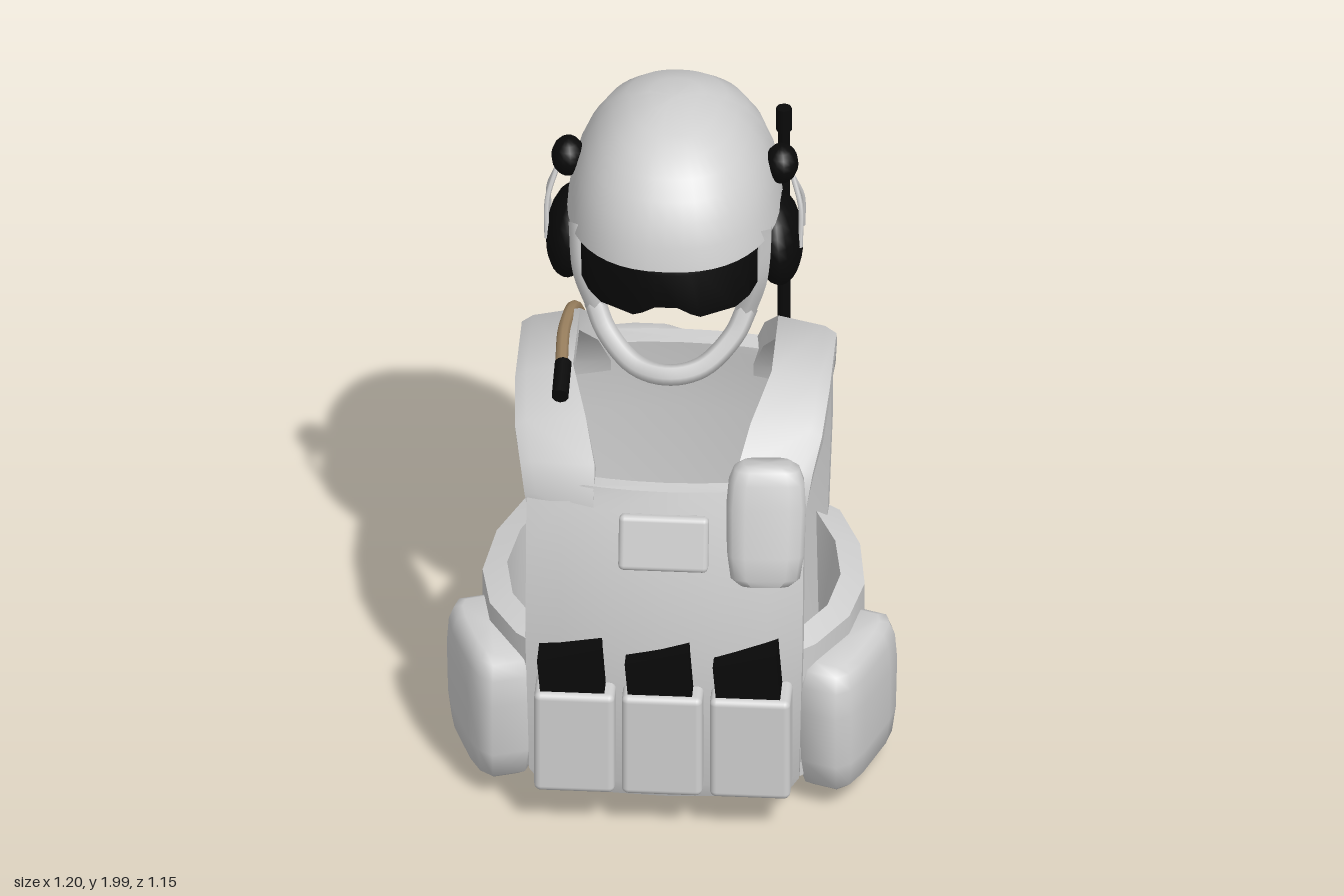
import * as THREE from 'three';
import { toCreasedNormals } from 'three/addons/utils/BufferGeometryUtils.js';
import { RoundedBoxGeometry } from 'three/addons/geometries/RoundedBoxGeometry.js';

const mat = (name, color) => Object.assign(new THREE.MeshStandardMaterial({ color }), { name });

// Closed solid through cross-sections (equal-length loops of [x, y, z]).
function loft(sections, crease = 0.9) {
  const n = sections[0].length, pos = sections.flat(), idx = [];
  for (let s = 0; s < sections.length - 1; s++)
    for (let i = 0; i < n; i++) {
      const a = s * n + i, b = s * n + (i + 1) % n;
      idx.push(a, b, b + n, a, b + n, a + n);
    }
  [0, sections.length - 1].forEach((s) => {
    const c = pos.length;
    pos.push([0, 1, 2].map((k) => sections[s].reduce((t, p) => t + p[k], 0) / n));
    for (let i = 0; i < n; i++) {
      const a = s * n + i, b = s * n + (i + 1) % n;
      idx.push(...(s === 0 ? [c, b, a] : [c, a, b]));
    }
  });
  // turn the faces outward
  const v = pos.map((p) => new THREE.Vector3(...p));
  let volume = 0;
  for (let i = 0; i < idx.length; i += 3)
    volume += v[idx[i]].dot(v[idx[i + 1]].clone().cross(v[idx[i + 2]]));
  if (volume < 0) idx.reverse();
  const g = new THREE.BufferGeometry();
  g.setAttribute('position', new THREE.Float32BufferAttribute(pos.flat(), 3));
  g.setIndex(idx);
  return toCreasedNormals(g, crease);
}

const tube = (pts, r, sides = 6) => new THREE.TubeGeometry(
  new THREE.CatmullRomCurve3(pts.map((p) => new THREE.Vector3(...p))), pts.length * 5, r, sides);
const box = (w, h, d, r) => new RoundedBoxGeometry(w, h, d, 3, r);

// Stuffed pouch: twelve-sided soft rectangle, drawn in at top and bottom.
function pillow(w, h, d) {
  const quarter = [[0.5, 0.22], [0.44, 0.4], [0.28, 0.5]];
  const loop = [...quarter, ...quarter.map(([x, z]) => [-x, z]).reverse(),
    ...quarter.map(([x, z]) => [-x, -z]), ...quarter.map(([x, z]) => [x, -z]).reverse()];
  return loft([[-0.5, 0.66], [-0.44, 0.88], [-0.25, 0.97], [0.15, 1], [0.35, 0.95], [0.46, 0.82], [0.5, 0.6]]
    .map(([y, k]) => loop.map(([x, z]) => [x * w * k, y * h, z * d * (0.3 + 0.7 * k)])), 1.1);
}

// Curved plate: rows of [y, half width, front z, back z]; edges bend by `bend`.
const plate = (rows, bend) => loft(rows.map(([y, w, zf, zb]) => {
  const xs = [-1, -0.75, -0.4, 0, 0.4, 0.75, 1];
  const edge = (z) => (u) => [u * w, y, z + bend * (u * w / 0.38) ** 2];
  return [...xs.map(edge(zf)), ...xs.reverse().map(edge(zb))];
}));

// Helmet shell: outer rows down to a rim cut higher at the front and ears, then inner rows up.
function helmetShell() {
  const soft = (v) => Math.sign(v) * Math.abs(v) ** 0.86;
  const ring = (t, k) => Array.from({ length: 48 }, (_, i) => {
    const a = i / 48 * Math.PI * 2, back = Math.acos(Math.cos(a)) * 180 / Math.PI;
    const rim = 1.685 - 0.22 * THREE.MathUtils.smoothstep(back, 94, 112)
      - 0.045 * THREE.MathUtils.smoothstep(back, 112, 150);
    const y = rim + (2 - rim) * Math.cos(t * Math.PI / 2);
    const d = y - 1.62;
    const s = d > 0 ? Math.max(0, 1 - (d / 0.38) ** 2.2) ** 0.4545 : 1 - 3 * d * d;
    return [0.288 * k * s * soft(Math.sin(a)), y - (1 - k) * 0.4 * Math.cos(t * Math.PI / 2),
      0.02 + 0.378 * k * s * soft(Math.cos(a))];
  });
  const ts = [0.02, 0.12, 0.25, 0.38, 0.5, 0.62, 0.74, 0.87, 1];
  return loft([...ts.map((t) => ring(t, 1)), ...ts.reverse().map((t) => ring(t, 0.92))]);
}

export function createModel() {
  const model = new THREE.Group();
  const fabric = mat('light grey', 0xcfcfcf);
  const black = mat('black', 0x090909);
  const tan = mat('tan', 0x9c8260);
  const add = (name, g, m, p = [0, 0, 0], r = [0, 0, 0]) => {
    const mesh = new THREE.Mesh(g, m);
    mesh.name = name;
    mesh.position.set(...p);
    mesh.rotation.set(...r);
    model.add(mesh);
  };

  // Vest panels
  add('frontPanel', plate([[0.07, 0.33, 0.48, 0.445], [0.12, 0.36, 0.5, 0.45], [0.55, 0.37, 0.515, 0.455],
    [0.8, 0.37, 0.48, 0.425], [0.94, 0.372, 0.44, 0.39], [1.0, 0.22, 0.42, 0.375]], -0.06), fabric);
  add('backPanel', plate([[0.1, 0.36, -0.34, -0.27], [0.5, 0.39, -0.365, -0.29], [0.8, 0.4, -0.37, -0.295],
    [0.95, 0.4, -0.36, -0.285], [1.02, 0.22, -0.34, -0.275]], 0.055), fabric);

  for (const s of [1, -1]) {
    // Shoulder strap: [outer z, outer y, inner z, inner y, inner x, outer x, droop, z shift at outer edge]
    add('shoulderStrap', loft([
      [0.428, 0.9, 0.39, 0.9, 0.19, 0.365, 0, 0.045], [0.42, 0.96, 0.37, 0.95, 0.19, 0.377, 0, 0.04],
      [0.38, 1.05, 0.33, 1.01, 0.19, 0.39, 0.01, 0.025], [0.285, 1.14, 0.255, 1.09, 0.22, 0.41, 0.03, 0.01],
      [0.12, 1.2, 0.11, 1.15, 0.265, 0.42, 0.04, 0], [-0.15, 1.2, -0.12, 1.15, 0.265, 0.42, 0.04, 0],
      [-0.265, 1.1, -0.21, 1.06, 0.22, 0.415, 0.03, -0.02], [-0.335, 0.99, -0.265, 0.96, 0.19, 0.405, 0, -0.04],
      [-0.345, 0.9, -0.28, 0.88, 0.19, 0.398, 0, -0.045],
    ].map(([zo, yo, zi, yi, xi, xo, d, e]) => [[s * xi, yo, zo], [s * (xo - 0.03), yo - d * 0.7, zo - e * 0.8],
      [s * xo, yo - d - 0.01, zo - e], [s * xo, yi - d, zi - e], [s * xi, yi, zi]])), fabric);

    // Side band around the waist
    add('waistBand', loft([[0.32, 0.44, 0.28, 0.41], [0.4, 0.37, 0.34, 0.35], [0.48, 0.23, 0.42, 0.21],
      [0.51, 0.07, 0.445, 0.06], [0.485, -0.12, 0.42, -0.1], [0.42, -0.28, 0.36, -0.24],
      [0.34, -0.34, 0.31, -0.28]].map(([xo, zo, xi, zi]) => [[s * xo, 0.1, zo],
      [s * xo, 0.5, zo], [s * xi, 0.52, zi], [s * xi, 0.1, zi]])), fabric);

    // Large side pouch
    add('sidePouch', pillow(0.18, 0.385, 0.385), fabric, [s * 0.475, 0.252, 0.253], [0, -s * 0.34, 0]);

    // Headset: pivot, ear cup and wire fork
    add('headsetPivot', new THREE.SphereGeometry(1, 14, 10).scale(0.045, 0.055, 0.055), black, [s * 0.285, 1.8, 0.02]);
    add('earCup', new THREE.SphereGeometry(1, 18, 12).scale(0.066, 0.128, 0.132), black,
      [s * 0.277, 1.57, 0.03], [0, 0, s * 0.08]);
    for (const k of [1, -1])
      add('headsetWire', tube([[s * 0.315, 1.76, 0.02], [s * 0.338, 1.68, 0.02 + k * 0.03],
        [s * 0.338, 1.57, 0.02 + k * 0.055]], 0.007), fabric);

    // Chin strap legs
    add('frontStrap', tube([[s * 0.245, 1.72, 0.2], [s * 0.235, 1.56, 0.195], [s * 0.2, 1.43, 0.17]], 0.03), fabric);
    add('rearStrap', tube([[s * 0.26, 1.5, -0.13], [s * 0.24, 1.45, -0.05], [s * 0.2, 1.425, 0.17]], 0.024), fabric);
  }
  add('chinStrap', tube([[-0.205, 1.44, 0.17], [-0.17, 1.37, 0.21], [-0.09, 1.305, 0.27], [0, 1.295, 0.3],
    [0.09, 1.305, 0.27], [0.17, 1.37, 0.21], [0.205, 1.44, 0.17]], 0.029), fabric);

  // Magazine pouches with slanted magazines; the middle one sits deeper
  for (const [x, back] of [[-0.232, 0.45], [0.002, 0.4], [0.237, 0.45]]) {
    add('magazinePouch', box(0.215, 0.31, 0.575 - back, 0.018), fabric, [x, 0.285, (0.575 + back) / 2]);
    const side = [[-0.08, 0.3], [-0.1, 0.535], [0.07, 0.58], [0.09, 0.3]];
    add('magazine', loft([back + 0.015, 0.557].map((z) => side.map(([u, y]) => [x + u, y, z]))), black);
  }

  // Chest details
  add('chestPatch', box(0.24, 0.155, 0.04, 0.015), fabric, [0, 0.867, 0.464], [-0.25, 0, 0]);
  add('shoulderPouch', pillow(0.21, 0.335, 0.125), fabric, [0.272, 0.935, 0.45], [-0.27, 0.1, 0]);

  // Rear waist pack, shaped by its side profile
  const pack = [[-0.28, 0.46], [-0.46, 0.49], [-0.54, 0.44], [-0.578, 0.33], [-0.55, 0.17], [-0.505, 0.03],
    [-0.41, 0.005], [-0.26, 0.05]];
  add('rearPack', loft([[-0.362, 0.66], [-0.345, 0.8], [-0.3, 0.93], [-0.2, 1], [0, 1], [0.2, 1], [0.3, 0.93],
    [0.345, 0.8], [0.362, 0.66]].map(([x, k]) => pack.map(([z, y]) =>
    [x, 0.25 + (y - 0.25) * (0.3 + k * 0.7), -0.27 + (z + 0.27) * k]))), fabric);

  // Water carrier with cap, hose and mouthpiece
  const carrier = [[-0.2, -0.34], [-0.195, -0.39], [-0.12, -0.47], [-0.04, -0.497], [0.06, -0.497],
    [0.13, -0.45], [0.19, -0.39], [0.195, -0.34]];
  add('waterCarrier', loft([[0.45, 0.9], [0.52, 1], [0.85, 1], [0.94, 0.88], [0.985, 0.5]].map(([y, k]) =>
    carrier.map(([x, z]) => [-0.105 + x * (0.6 + 0.4 * k), y, -0.33 + (z + 0.33) * k]))), fabric);
  add('carrierCap', new THREE.CylinderGeometry(0.053, 0.053, 0.03, 14), black, [-0.11, 0.83, -0.493],
    [Math.PI / 2, 0, 0]);
  add('hose', tube([[-0.23, 0.98, -0.37], [-0.265, 1.06, -0.31], [-0.285, 1.165, -0.21], [-0.3, 1.2, -0.05],
    [-0.295, 1.203, 0.14]], 0.017, 8), tan);
  add('mouthpiece', new THREE.CylinderGeometry(0.023, 0.023, 0.125, 10), black, [-0.291, 1.193, 0.188],
    [Math.PI / 2 + 0.2, 0, 0]);

  // Radio with antenna
  add('radioPouch', box(0.22, 0.31, 0.13, 0.025), fabric, [0.247, 0.715, -0.395]);
  add('radio', box(0.155, 0.2, 0.1, 0.008), black, [0.237, 0.79, -0.395]);
  add('antenna', new THREE.CylinderGeometry(0.016, 0.018, 0.84, 8), black, [0.265, 1.29, -0.37]);
  add('antennaTip', new THREE.CylinderGeometry(0.021, 0.021, 0.07, 8), black, [0.265, 1.683, -0.37]);

  // Helmet and wraparound goggles with a nose notch
  add('helmet', helmetShell(), fabric);
  const lens = [[0.235, 1.56], [0.215, 1.53], [0.18, 1.512], [0.09, 1.512], [0.065, 1.525], [0.03, 1.548]];
  const span = [...lens.map(([x, y]) => [-x, y]), ...lens.reverse()];
  add('goggles', loft(span.map(([x, y]) => {
    const z = 0.375 - 2.3 * x * x;
    return [[x, 1.7, z - 0.02], [x, 1.66, z], [x, y, z - 0.015], [x, y, z - 0.06], [x, 1.7, z - 0.06]];
  })), black);

  return model;
}
